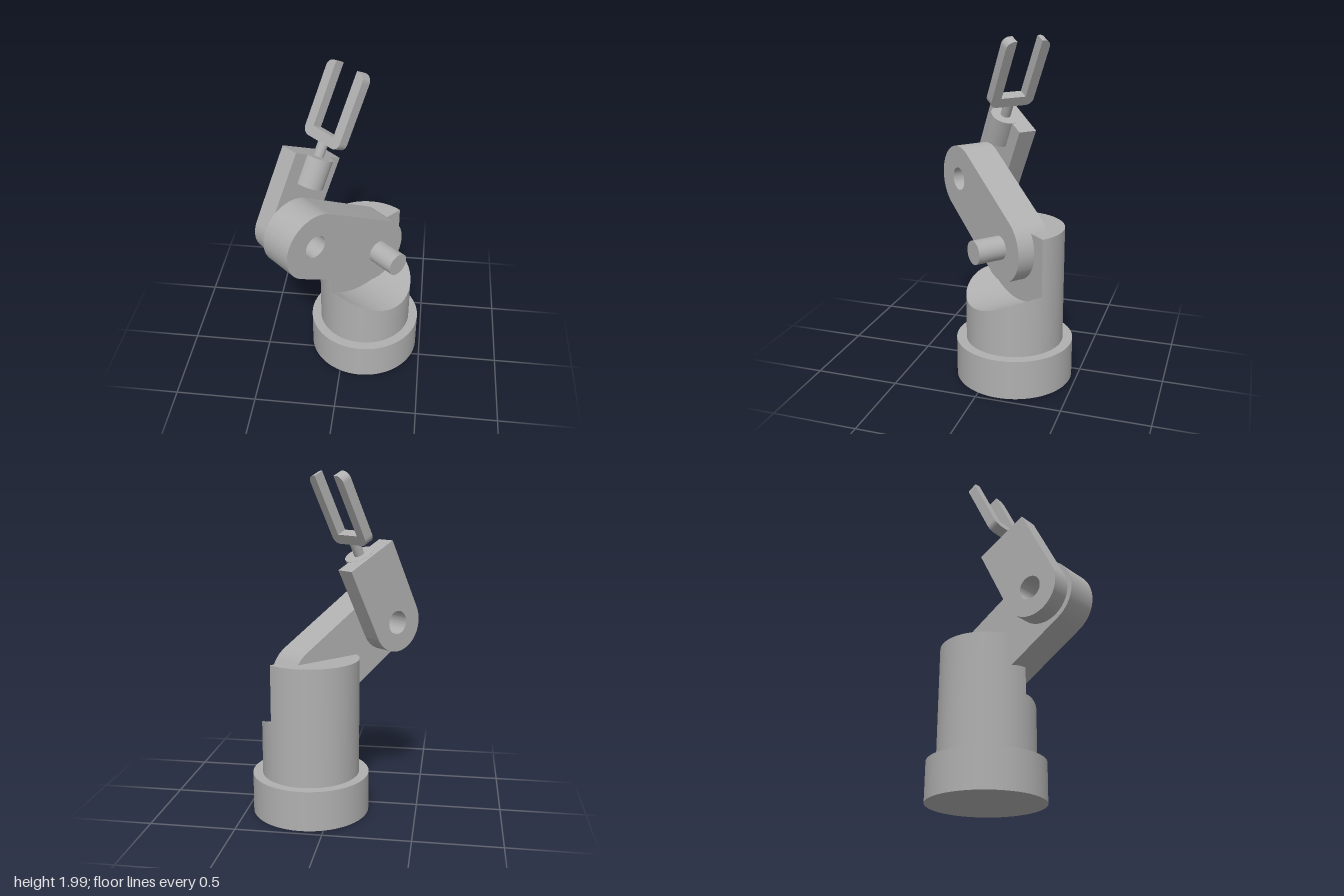
import * as THREE from 'three';
import { toCreasedNormals } from 'three/addons/utils/BufferGeometryUtils.js';

const metal = new THREE.MeshStandardMaterial({ color: 0xb0b0b0 });
metal.name = 'plain grey';

function add(parent, name, geometry, x = 0, y = 0, z = 0) {
  const mesh = new THREE.Mesh(geometry, metal);
  mesh.name = name;
  mesh.position.set(x, y, z);
  parent.add(mesh);
  return mesh;
}

// Flat outline given thickness from z0 to z1
function slab(shape, z0, z1) {
  const g = new THREE.ExtrudeGeometry(shape, { depth: z1 - z0, bevelEnabled: false, curveSegments: 40 });
  g.translate(0, 0, z0);
  return toCreasedNormals(g, 0.5);
}

// Surface from a rule mapping (u, v) to a point
function sheet(rule, nu, nv) {
  const g = new THREE.PlaneGeometry(1, 1, nu, nv);
  const p = g.attributes.position;
  for (let i = 0; i < p.count; i++) p.setXYZ(i, ...rule(p.getX(i) + 0.5, p.getY(i) + 0.5));
  g.computeVertexNormals();
  return g;
}

function roundHole(x, y, r) {
  const hole = new THREE.Path();
  hole.absarc(x, y, r, 0, Math.PI * 2, true);
  return hole;
}

export function createModel() {
  const model = new THREE.Group();
  model.name = 'robotArm';

  // The whole arm is turned about the base; local x runs along the arm, z along its pivots
  const robot = new THREE.Group();
  robot.name = 'turnedArm';
  robot.position.set(0.128, 0, -0.122);
  robot.rotation.y = THREE.MathUtils.degToRad(48.4);
  model.add(robot);

  // Base disc
  const baseTop = 0.235;
  add(robot, 'base', new THREE.CylinderGeometry(0.345, 0.345, baseTop, 96), 0, baseTop / 2, 0);

  // Turret: tall rear half, front half scooped out below the arm
  const R = 0.287, top = 0.925, scoop = 0.445;
  const turret = new THREE.Group();
  turret.name = 'turret';
  robot.add(turret);
  const low = (x) => top - Math.sqrt(scoop * scoop - x * x);
  const cx = (u) => -R * Math.cos(Math.PI * u);
  const cz = (u) => R * Math.sin(Math.PI * u);
  const mix = THREE.MathUtils.lerp;
  add(turret, 'turretFront', sheet((u, v) => [cx(u), mix(baseTop, low(cx(u)), v), cz(u)], 48, 1));
  add(turret, 'turretBack', sheet((u, v) => [-cx(u), mix(baseTop, top, v), -cz(u)], 48, 1));
  add(turret, 'turretScoop', sheet((u, v) => [cx(u), low(cx(u)), (1 - v) * cz(u)], 48, 1));
  add(turret, 'turretTop', sheet((u, v) => [cx(u), top, -v * cz(u)], 48, 1));
  add(turret, 'turretWall', sheet((u, v) => [cx(u), mix(low(cx(u)), top, v), 0], 48, 1));

  // Shoulder pin
  const shoulderY = 0.81, elbowX = -0.491, elbowY = 1.106, half = 0.104;
  const pin = add(robot, 'shoulderPin', new THREE.CylinderGeometry(0.07, 0.07, 0.276, 48), 0, shoulderY, 0.138);
  pin.rotation.x = Math.PI / 2;

  // Upper arm: rounded bar with an open elbow hole
  const length = Math.hypot(elbowX, elbowY - shoulderY);
  const bar = new THREE.Shape();
  bar.absarc(0, 0, 0.204, Math.PI / 2, Math.PI * 1.5, false);
  bar.absarc(length, 0, 0.204, -Math.PI / 2, Math.PI / 2, false);
  bar.closePath();
  bar.holes.push(roundHole(length, 0, 0.07));
  const upperArm = add(robot, 'upperArm', slab(bar, -half, half), 0, shoulderY, 0);
  upperArm.rotation.z = Math.atan2(elbowY - shoulderY, elbowX);

  // Forearm group: y runs from the elbow to the gripper
  const forearm = new THREE.Group();
  forearm.name = 'forearmGroup';
  forearm.position.set(elbowX, elbowY, 0);
  forearm.rotation.z = THREE.MathUtils.degToRad(-27);
  robot.add(forearm);

  const r = 0.176, end = 0.46;
  const plate = new THREE.Shape();
  plate.moveTo(r, end);
  plate.lineTo(-r, end);
  plate.absarc(0, 0, r, Math.PI, Math.PI * 2, false);
  plate.closePath();
  plate.holes.push(roundHole(0, 0, 0.07));
  add(forearm, 'forearm', slab(plate, -0.218, -half));

  // Wrist barrel and shaft
  add(forearm, 'wristBarrel', new THREE.CylinderGeometry(0.087, 0.087, 0.173, 48), 0, end - 0.0855, -half);
  add(forearm, 'wristShaft', new THREE.CylinderGeometry(0.03, 0.03, 0.12, 32), 0, end + 0.04, -half);

  // Two-pronged gripper with rounded outer corners
  const w = 0.143, t = 0.061, h = 0.435, c = 0.045;
  const fork = new THREE.Shape();
  fork.moveTo(-w + c, 0);
  fork.lineTo(w - c, 0);
  fork.absarc(w - c, c, c, -Math.PI / 2, 0, false);
  fork.absarc(w - c, h - c, c, 0, Math.PI / 2, false);
  fork.lineTo(w - t, h);
  fork.lineTo(w - t, t);
  fork.lineTo(-w + t, t);
  fork.lineTo(-w + t, h);
  fork.absarc(-w + c, h - c, c, Math.PI / 2, Math.PI, false);
  fork.absarc(-w + c, c, c, Math.PI, Math.PI * 1.5, false);
  const gripper = add(forearm, 'gripper', slab(fork, -0.03, 0.03), 0, 0.541, -half);
  gripper.rotation.y = Math.PI / 2;

  return model;
}
